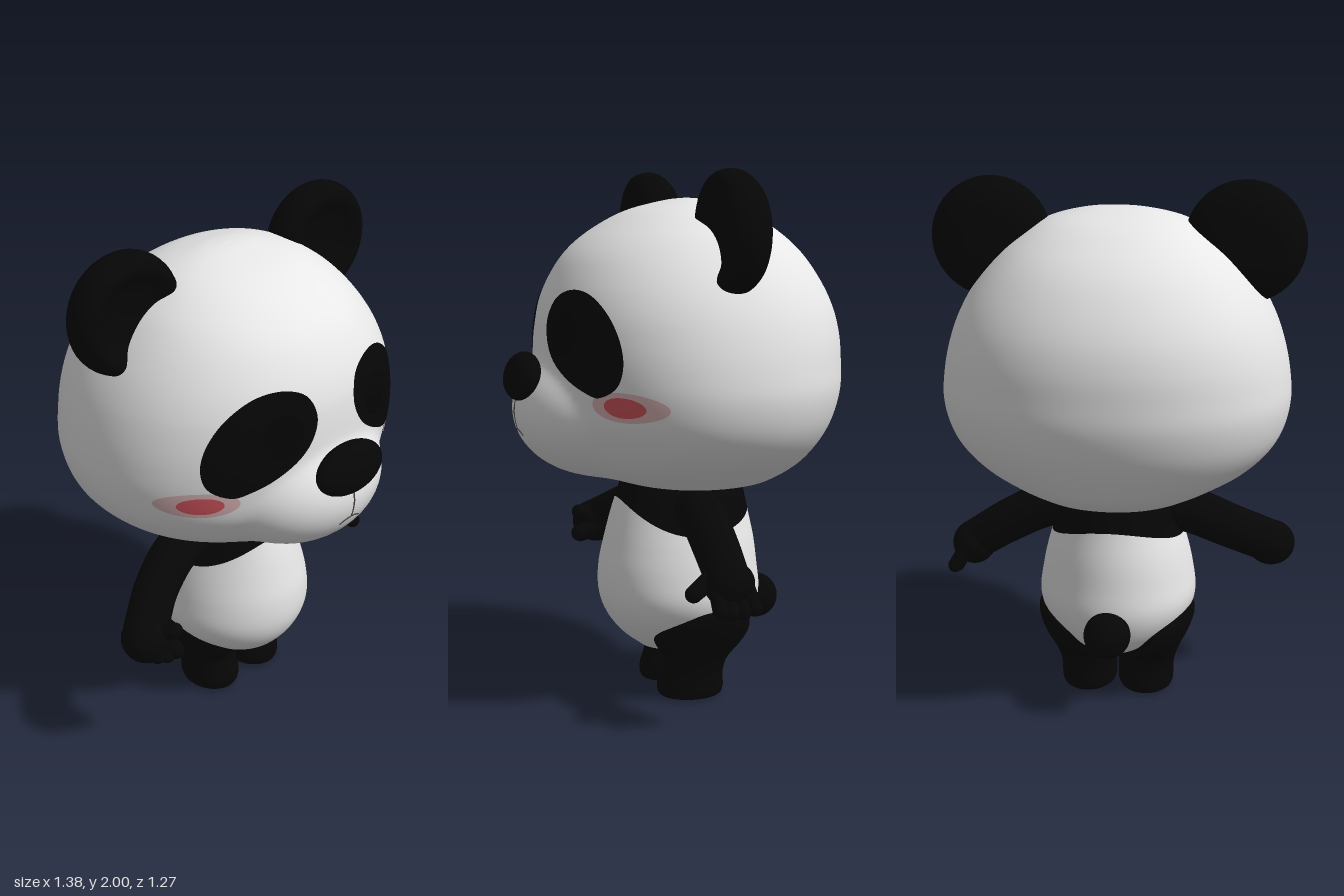
import * as THREE from 'three';
import { mergeVertices } from 'three/addons/utils/BufferGeometryUtils.js';

const V = (x, y, z = 0) => new THREE.Vector3(x, y, z);
const material = (name, color) => {
  const m = new THREE.MeshStandardMaterial({ color });
  m.name = name;
  return m;
};

// Smooth grid surface from f(u, v); u runs around, v runs up or outward
function surface(f, nu, nv) {
  const pos = [], index = [];
  for (let i = 0; i <= nu; i++)
    for (let j = 0; j <= nv; j++) pos.push(...f((i % nu) / nu, j / nv).toArray());
  for (let i = 0; i < nu; i++)
    for (let j = 0; j < nv; j++) {
      const a = i * (nv + 1) + j, c = a + nv + 1;
      index.push(a, a + 1, c, c, a + 1, c + 1);
    }
  let g = new THREE.BufferGeometry();
  g.setAttribute('position', new THREE.Float32BufferAttribute(pos, 3));
  g.setIndex(index);
  g = mergeVertices(g, 1e-5);
  g.computeVertexNormals();
  return g;
}

// Stack of rounded sections; rows are [height, half width, front z, back z, centre x]
function stack(rows, power = 2) {
  const widths = new THREE.CatmullRomCurve3(rows.map(r => V(r[1], r[0], r[4] || 0)), false, 'catmullrom');
  const depths = new THREE.CatmullRomCurve3(rows.map(r => V(r[2], r[0], r[3])), false, 'catmullrom');
  const at = t => {
    const w = widths.getPoint(t), d = depths.getPoint(t);
    return { y: w.y, a: Math.max(w.x, 0), cx: w.z, cz: (d.x + d.z) / 2, b: Math.max((d.x - d.z) / 2, 0) };
  };
  const tAt = y => {
    let lo = 0, hi = 1;
    for (let k = 0; k < 30; k++) {
      const m = (lo + hi) / 2;
      if (at(m).y < y) lo = m; else hi = m;
    }
    return lo;
  };
  const point = (u, t) => {
    const s = at(t), c = Math.cos(u * Math.PI * 2), q = Math.sin(u * Math.PI * 2);
    const k = (Math.abs(c) ** power + Math.abs(q) ** power) ** (-1 / power);
    return V(s.cx + s.a * c * k, s.y, s.cz + s.b * q * k);
  };
  const frontZ = (x, y) => {
    const s = at(tAt(y));
    return s.cz + s.b * Math.max(0, 1 - Math.abs(x / s.a) ** power) ** (1 / power);
  };
  return { point, tAt, frontZ };
}

// Tapered limb along a curve
function limb(points, radii) {
  const n = 28, m = 20, curve = new THREE.CatmullRomCurve3(points);
  const g = new THREE.TubeGeometry(curve, n, 1, m), p = g.attributes.position;
  for (let i = 0; i <= n; i++) {
    const c = curve.getPointAt(i / n), k = (i / n) * (radii.length - 1), a = Math.min(Math.floor(k), radii.length - 2);
    const r = THREE.MathUtils.lerp(radii[a], radii[a + 1], k - a);
    for (let j = 0; j <= m; j++) {
      const id = i * (m + 1) + j, q = V().fromBufferAttribute(p, id).sub(c).multiplyScalar(r).add(c);
      p.setXYZ(id, q.x, q.y, q.z);
    }
  }
  return g;
}

export function createModel() {
  const root = new THREE.Group();
  const white = material('white fur', 0xe8e8e8), black = material('black fur', 0x060606);
  const eyeBlack = material('eye black', 0x040404), blush = material('blush', 0xd4565f);
  const paleBlush = material('pale blush', 0xdcb6b6), line = material('mouth grey', 0x4a4646);
  const add = (name, geometry, mat, parent = root) => {
    const mesh = new THREE.Mesh(geometry, mat);
    mesh.name = name;
    parent.add(mesh);
    return mesh;
  };
  const ball = (name, mat, c, r, parent = root) => {
    const mesh = add(name, new THREE.SphereGeometry(1, 40, 28), mat, parent);
    mesh.position.set(...c);
    mesh.scale.set(...r);
    return mesh;
  };

  // Head with the muzzle swelling smoothly out of it
  const head = stack([
    [.805, 0, -.12, -.12], [.81, .15, .03, -.25], [.83, .265, .15, -.37], [.86, .345, .24, -.43],
    [.9, .425, .33, -.485], [.95, .51, .385, -.525], [1.02, .582, .43, -.57], [1.1, .627, .47, -.607],
    [1.2, .648, .49, -.632], [1.3, .642, .502, -.635], [1.4, .622, .502, -.63], [1.5, .588, .488, -.607],
    [1.6, .535, .45, -.56], [1.7, .46, .385, -.49], [1.78, .378, .29, -.4], [1.85, .265, .16, -.285],
    [1.89, .125, .01, -.15], [1.9, 0, -.07, -.07]], 2.1);
  const muzzle = { c: V(0, 1.12, .3), r: V(.34, .245, .3) };
  const swell = p => {
    const d = p.clone().sub(muzzle.c), h = d.length();
    const m = h / d.clone().divide(muzzle.r).length();
    return d.multiplyScalar((h + m + Math.hypot(h - m, .035)) / 2 / h).add(muzzle.c);
  };
  add('head', surface((u, v) => swell(head.point(u, v)), 144, 120), white);
  ball('nose', black, [0, 1.25, .572], [.157, .092, .06]).rotation.x = -.3;

  // Mouth lines follow the muzzle
  const muzzlePoint = (x, y) => V(x, y, .303 + .3 * Math.sqrt(1 - (x / .34) ** 2 - ((y - 1.12) / .245) ** 2));
  [[[0, 1.18], [0, 1.12], [0, 1.055]], [[-.05, 1.035], [-.025, 1.05], [0, 1.055], [.025, 1.05], [.05, 1.035]]].forEach(pts =>
    add('mouth', new THREE.TubeGeometry(new THREE.CatmullRomCurve3(pts.map(p => muzzlePoint(...p))), 16, .003, 6), line));

  // Thin plates that follow the face; outlines run clockwise on the left side
  const plate = (name, mat, outline, c, s, lift) => add(name, surface((u, v) => {
    const p = outline(s > 0 ? 1 - u : u);
    const x = THREE.MathUtils.lerp(c[0], p.x, v), y = THREE.MathUtils.lerp(c[1], p.y, v);
    const q = swell(V(x, y, head.frontZ(x, y)));
    return V(s * (q.x + lift * x / .65), q.y, q.z + lift);
  }, 64, 14), mat);
  const patchCurve = new THREE.CatmullRomCurve3([[.09, 1.46], [.12, 1.54], [.2, 1.575], [.3, 1.565], [.4, 1.5], [.46, 1.41],
    [.48, 1.32], [.46, 1.25], [.39, 1.21], [.33, 1.225], [.25, 1.26], [.16, 1.32], [.11, 1.385]].map(p => V(...p)), true);
  const oval = (cx, cy, rx, ry) => u => V(cx + rx * Math.cos(u * 2 * Math.PI), cy - ry * Math.sin(u * 2 * Math.PI));

  // Ear: rounded back, dished front
  const earProfile = new THREE.SplineCurve([[0, -.178], [.1, -.176], [.17, -.155], [.212, -.11], [.222, -.065], [.21, -.02],
    [.18, .002], [.15, -.006], [.11, -.028], [.05, -.04], [0, -.042]].map(p => new THREE.Vector2(...p))).getPoints(40);
  earProfile.forEach(p => { p.x = Math.max(p.x, 0); });

  for (const s of [1, -1]) {
    const side = s > 0 ? 'left' : 'right';
    plate(side + 'EyePatch', black, u => patchCurve.getPoint(u), [.29, 1.4], s, .004);
    plate(side + 'Eye', eyeBlack, oval(.225, 1.42, .075, .08), [.225, 1.42], s, .008);
    plate(side + 'CheekGlow', paleBlush, oval(.472, 1.183, .11, .053), [.472, 1.183], s, .003);
    plate(side + 'Cheek', blush, oval(.473, 1.183, .062, .036), [.473, 1.183], s, .006);
    const ear = add(side + 'Ear', new THREE.LatheGeometry(earProfile, 48), black);
    ear.rotation.x = Math.PI / 2;
    ear.position.set(s * .467, 1.778, 0);

    // Leg with foot
    const leg = stack([
      [0, 0, -.05, -.05, .115], [0, .085, .055, -.155, .115], [.02, .106, .08, -.177, .113], [.06, .109, .08, -.178, .113],
      [.1, .109, .066, -.178, .115], [.15, .113, .056, -.193, .123], [.2, .12, .09, -.235, .135], [.25, .129, .113, -.265, .15],
      [.3, .135, .11, -.268, .163], [.34, .125, .08, -.238, .18], [.37, .08, .02, -.17, .21], [.38, 0, -.075, -.075, .22]
    ].map(r => [...r.slice(0, 4), s * r[4]]));
    add(side + 'Leg', surface(leg.point, 40, 44), black);
  }

  // Body: white belly below a curved line, black yoke above it
  const body = stack([
    [.155, 0, -.03, -.03], [.165, .07, .08, -.15], [.2, .14, .14, -.23], [.25, .21, .2, -.3], [.32, .275, .25, -.338],
    [.4, .303, .275, -.354], [.5, .292, .275, -.345], [.6, .27, .255, -.333], [.7, .24, .23, -.312],
    [.78, .22, .205, -.295], [.83, .2, .19, -.28]]);
  const border = u => {
    const q = Math.sin(u * 2 * Math.PI);
    return body.tAt(.65 + (q > 0 ? .12 : .07) * q * q);
  };
  add('belly', surface((u, v) => body.point(u, v * border(u)), 72, 40), white);
  add('yoke', surface((u, v) => body.point(u, THREE.MathUtils.lerp(border(u), 1, v)), 72, 14), black);
  ball('tail', black, [0, .335, -.362], [.088, .088, .088]);

  // Left arm hangs outward with open fingers
  const leftArm = new THREE.Group();
  leftArm.name = 'leftArm';
  root.add(leftArm);
  add('leftSleeve', limb([V(.1, .755, -.04), V(.27, .733, -.04), V(.42, .66, -.035), V(.57, .565, -.03)], [.092, .088, .085, .08]), black, leftArm);
  ball('leftPalm', black, [.575, .555, -.032], [.085, .085, .092], leftArm);
  const finger = (name, a, b, r, parent) => {
    add(name, limb([a, a.clone().lerp(b, .5), b], [r * 1.15, r]), black, parent);
    ball(name + 'Tip', black, b.toArray(), [r, r, r], parent);
  };
  [.025, -.018, -.062, -.102].forEach((z, i) =>
    finger('leftFinger', V(.6, .54, z * .85), V(.64, i % 3 ? .467 : .478, z), .028, leftArm));
  finger('leftThumb', V(.55, .57, .03), V(.57, .527, .1), .031, leftArm);

  // Right arm bends forward into a loose fist
  const rightArm = new THREE.Group();
  rightArm.name = 'rightArm';
  root.add(rightArm);
  add('rightSleeve', limb([V(-.1, .755, -.04), V(-.27, .733, -.035), V(-.43, .655, .015), V(-.585, .56, .115)], [.092, .088, .085, .085]), black, rightArm);
  ball('rightPalm', black, [-.587, .55, .13], [.095, .088, .098], rightArm);
  [[-.63, .54], [-.6, .515], [-.565, .508], [-.535, .518]].forEach(([x, y], i) =>
    finger('rightFinger', V(x, y + .02, .14), V(x + .01, y - .004, .18 + i * .013), .034, rightArm));
  finger('rightThumb', V(-.565, .58, .16), V(-.525, .605, .22), .03, rightArm);

  return root;
}
